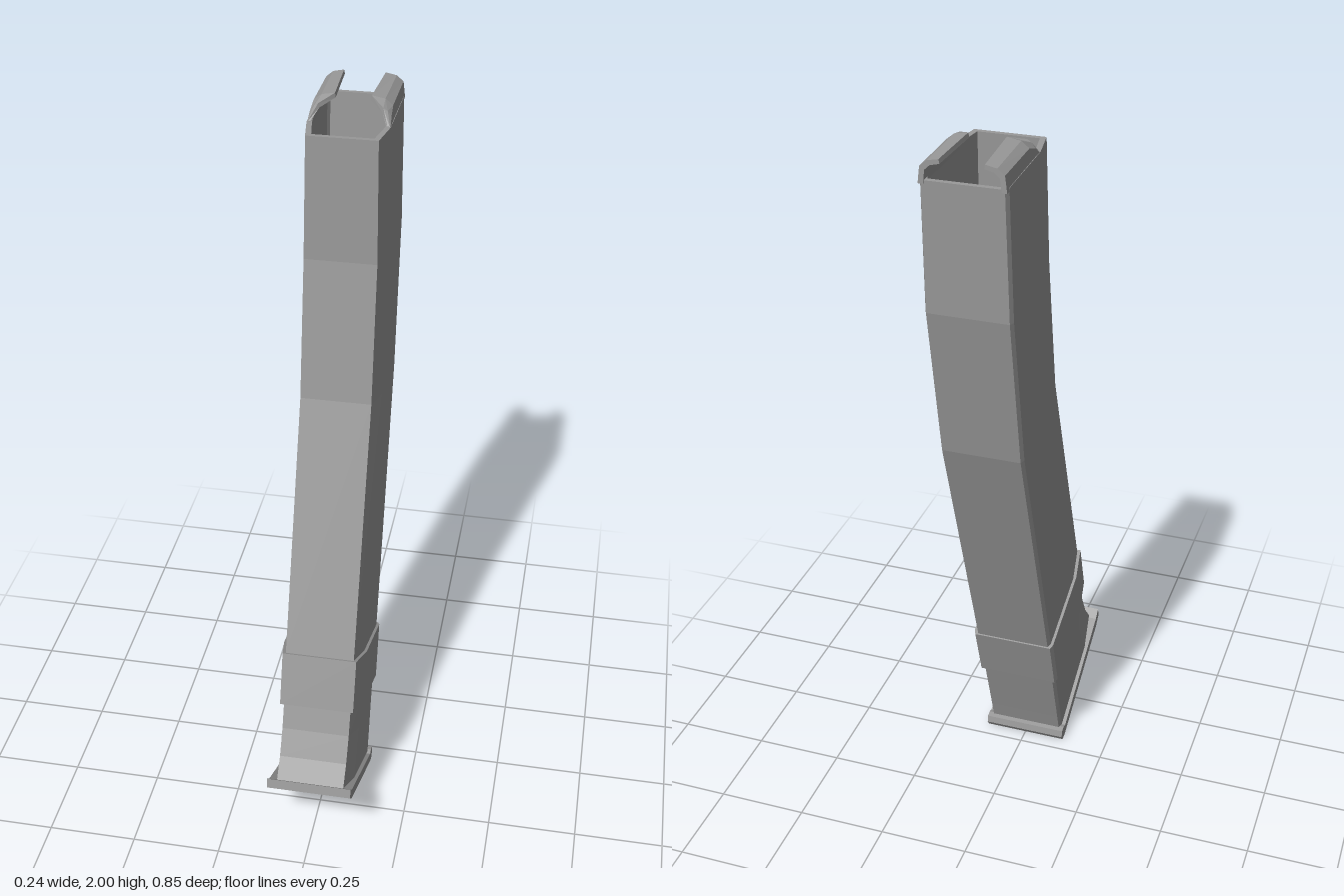
import * as THREE from 'three';

// Skins a list of equal-length rings and closes both ends with quad strips.
function loft(rings) {
  const pos = [];
  const quad = (a, b, c, d) => pos.push(...a, ...b, ...c, ...a, ...c, ...d);
  const n = rings[0].length;
  for (let r = 0; r < rings.length - 1; r++) {
    const a = rings[r], b = rings[r + 1];
    for (let i = 0; i < n; i++) {
      const j = (i + 1) % n;
      quad(a[i], a[j], b[j], b[i]);
    }
  }
  const first = rings[0], last = rings[rings.length - 1];
  for (let i = 0; i < n / 2 - 1; i++) {
    quad(first[n - 1 - i], first[n - 2 - i], first[i + 1], first[i]);
    quad(last[i], last[i + 1], last[n - 2 - i], last[n - 1 - i]);
  }
  const geo = new THREE.BufferGeometry();
  geo.setAttribute('position', new THREE.Float32BufferAttribute(pos, 3));
  geo.computeVertexNormals();
  return geo;
}

// Cross-section with a tapered front, from front and back points (z, y) and half width.
function section([fz, fy, bz, by, w], inset = 0) {
  const len = Math.hypot(bz - fz, by - fy);
  const half = [[0, w - 0.015], [0.28, w], [0.96, w], [1, w - 0.006]].map(([t, x]) => {
    const s = (inset + t * (len - 2 * inset)) / len;
    return [x - inset, fy + (by - fy) * s, fz + (bz - fz) * s];
  });
  return [...half, ...half.slice().reverse().map(([x, y, z]) => [-x, y, z])];
}

export function createModel() {
  const group = new THREE.Group();
  const metal = new THREE.MeshStandardMaterial({ color: 0x999999 });
  metal.name = 'grey metal';
  const add = (name, geo) => {
    const mesh = new THREE.Mesh(geo, metal);
    mesh.name = name;
    group.add(mesh);
    return mesh;
  };

  // Curved hollow body: outer wall upwards, then inner wall downwards
  const outer = [
    [0.4, 0.215, 0.052, 0.035, 0.11],
    [0.355, 0.265, 0.035, 0.09, 0.11],
    [0.315, 0.335, 0.01, 0.17, 0.11],
    [0.288, 0.405, -0.025, 0.28, 0.11],
    [0.245, 0.555, -0.073, 0.425, 0.111],
    [0, 1.24, -0.32, 1.18, 0.111],
    [-0.065, 1.62, -0.4, 1.6, 0.111],
    [-0.082, 1.95, -0.418, 1.94, 0.107],
  ];
  const inner = [outer[7], outer[6], outer[5], [0.21, 0.62, -0.09, 0.49, 0.111]];
  add('body', loft([
    ...outer.map((s) => section(s)),
    ...inner.map((s) => section(s, 0.013)),
  ]));

  // Raised band around the lower body
  add('band', loft([
    section([0.299, 0.41, -0.03, 0.272, 0.119]),
    section([0.252, 0.557, -0.079, 0.43, 0.119]),
  ]));

  // Base plate with lipped front and back edges
  const profile = [
    [0.418, 0.232], [0.425, 0.205], [0.4, 0.18], [0.065, 0.003], [0.045, 0],
    [0.034, 0.016], [0.038, 0.036], [0.055, 0.04], [0.07, 0.036], [0.395, 0.21],
  ];
  const plate = new THREE.Shape(profile.map(([z, y]) => new THREE.Vector2(-z, y)));
  const plateGeo = new THREE.ExtrudeGeometry(plate, { depth: 0.238, bevelEnabled: false });
  plateGeo.translate(0, 0, -0.119).rotateY(Math.PI / 2);
  add('basePlate', plateGeo);

  // Feed lips curling inwards over the open top, cut away towards the front
  const lipSections = [
    [-0.42, [[0.107, 1.932], [0.102, 1.974], [0.084, 1.989], [0.055, 1.995],
      [0.053, 1.984], [0.077, 1.978], [0.09, 1.966], [0.094, 1.932]]],
    [-0.245, [[0.107, 1.932], [0.102, 1.978], [0.082, 1.994], [0.047, 2],
      [0.045, 1.988], [0.076, 1.983], [0.09, 1.97], [0.094, 1.932]]],
    [-0.205, [[0.107, 1.932], [0.104, 1.965], [0.094, 1.978], [0.083, 1.985],
      [0.08, 1.974], [0.088, 1.969], [0.092, 1.958], [0.094, 1.932]]],
    [-0.178, [[0.107, 1.932], [0.107, 1.942], [0.106, 1.946], [0.104, 1.948],
      [0.098, 1.948], [0.096, 1.946], [0.094, 1.942], [0.094, 1.932]]],
  ];
  for (const side of [1, -1]) {
    const rings = lipSections.map(([z, pts]) => {
      const ring = pts.map(([x, y]) => [x * side, y, z]);
      return side > 0 ? ring : ring.reverse();
    });
    add(side > 0 ? 'leftFeedLip' : 'rightFeedLip', loft(rings));
  }
  return group;
}
